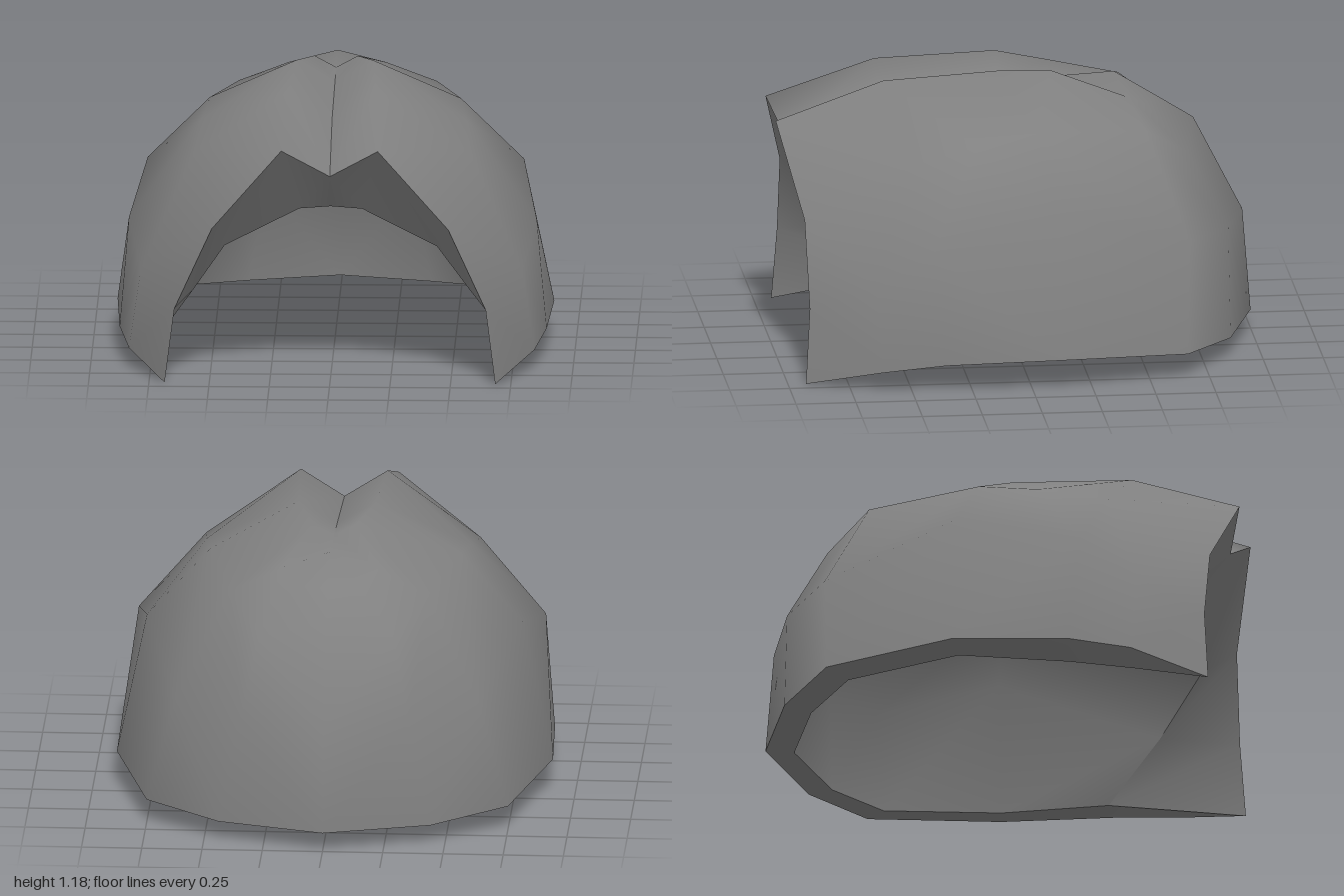
import * as THREE from 'three';
import { mergeVertices } from 'three/addons/utils/BufferGeometryUtils.js';

// Left half cross-sections, front to back; each runs from the crown down to the rim
const crown = [0, 1.12, -0.43];
const outer = [
  [[0, 0.88, 0.94], [0.2, 1, 1], [0.49, 0.65, 0.91], [0.645, 0.31, 0.905], [0.685, 0, 0.925]],
  [[0, 1.04, 0.55], [0.18, 1.155, 0.55], [0.57, 0.89, 0.49], [0.79, 0.42, 0.64], [0.84, 0.08, 0.62]],
  [[0, 1.09, 0.05], [0.16, 1.18, 0.05], [0.55, 0.96, 0.2], [0.845, 0.59, 0.41], [0.885, 0.115, 0.36]],
  [[0, 1.105, -0.16], [0.09, 1.154, -0.16], [0.52, 1, -0.05], [0.78, 0.73, -0.12], [0.905, 0.13, -0.12]],
  [crown, [0.2, 1.06, -0.47], [0.41, 0.97, -0.52], [0.63, 0.55, -0.68], [0.75, 0.1, -0.66]],
  [crown, [0.13, 1.01, -0.55], [0.28, 0.84, -0.71], [0.35, 0.53, -0.87], [0.44, 0.08, -0.87]],
  [crown, [0, 1.015, -0.6], [0, 0.915, -0.76], [0, 0.515, -0.965], [0, 0.08, -1]],
];

// Arch where the front lining meets the inner bowl
const arch = [[0, 0.72, 0.78], [0.13, 0.71, 0.78], [0.44, 0.55, 0.77], [0.575, 0.32, 0.58], [0.71, 0.09, 0.35]];

// Inner bowl: the rear sections drawn inward by the wall thickness
const bowl = [arch, ...outer.slice(3).map(section =>
  section.map(([x, y, z]) => [x * 0.86, 0.085 + (y - 0.1) * 0.88, z * 0.88]))];

// Underside between the outer and inner lower edges
const last = section => section[section.length - 1];
const innerEdge = [last(outer[0]), [0.7, 0.05, 0.62], ...bowl.map(last)];
const rim = outer.map((section, i) => [innerEdge[i], last(section)]);

// Skins the sections as one smooth half, then mirrors it.
// The centre line is a crease in front of seamEnd and smooth behind it.
function skin(sections, inward, seamEnd) {
  const points = [];
  const same = (p, q) => p.every((v, k) => Math.abs(v - q[k]) < 1e-6);
  const triangle = (a, b, c) => {
    if (same(a, b) || same(b, c) || same(a, c)) return;
    points.push(...a, ...(inward ? c : b), ...(inward ? b : c));
  };
  for (let i = 0; i < sections.length - 1; i++) {
    for (let j = 0; j < sections[i].length - 1; j++) {
      const a = sections[i][j], b = sections[i + 1][j];
      const c = sections[i + 1][j + 1], d = sections[i][j + 1];
      triangle(a, d, c);
      triangle(a, c, b);
    }
  }
  const flat = new THREE.BufferGeometry();
  flat.setAttribute('position', new THREE.Float32BufferAttribute(points, 3));
  const half = mergeVertices(flat);
  half.computeVertexNormals();
  const { position, normal } = half.attributes;
  const n = new THREE.Vector3();
  for (let i = 0; i < position.count; i++) {
    if (position.getX(i) !== 0 || position.getZ(i) > seamEnd) continue;
    n.fromBufferAttribute(normal, i).setX(0).normalize();
    normal.setXYZ(i, n.x, n.y, n.z);
  }
  const mirrored = half.clone().scale(-1, 1, 1);
  mirrored.setIndex([...half.index.array].reverse());
  return [half, mirrored];
}

export function createModel() {
  const group = new THREE.Group();
  group.name = 'hairCap';
  const grey = new THREE.MeshStandardMaterial({ color: 0x808080 });
  grey.name = 'grey';
  const add = (name, halves) => halves.forEach((geometry, i) => {
    const mesh = new THREE.Mesh(geometry, grey);
    mesh.name = (i ? 'right' : 'left') + name;
    group.add(mesh);
  });
  add('OuterShell', skin(outer, false, -0.3));
  add('FrontLining', skin([outer[0], arch], true, -1));
  add('InnerBowl', skin(bowl, true, 1));
  add('BottomRim', skin(rim, true, 1));
  return group;
}
